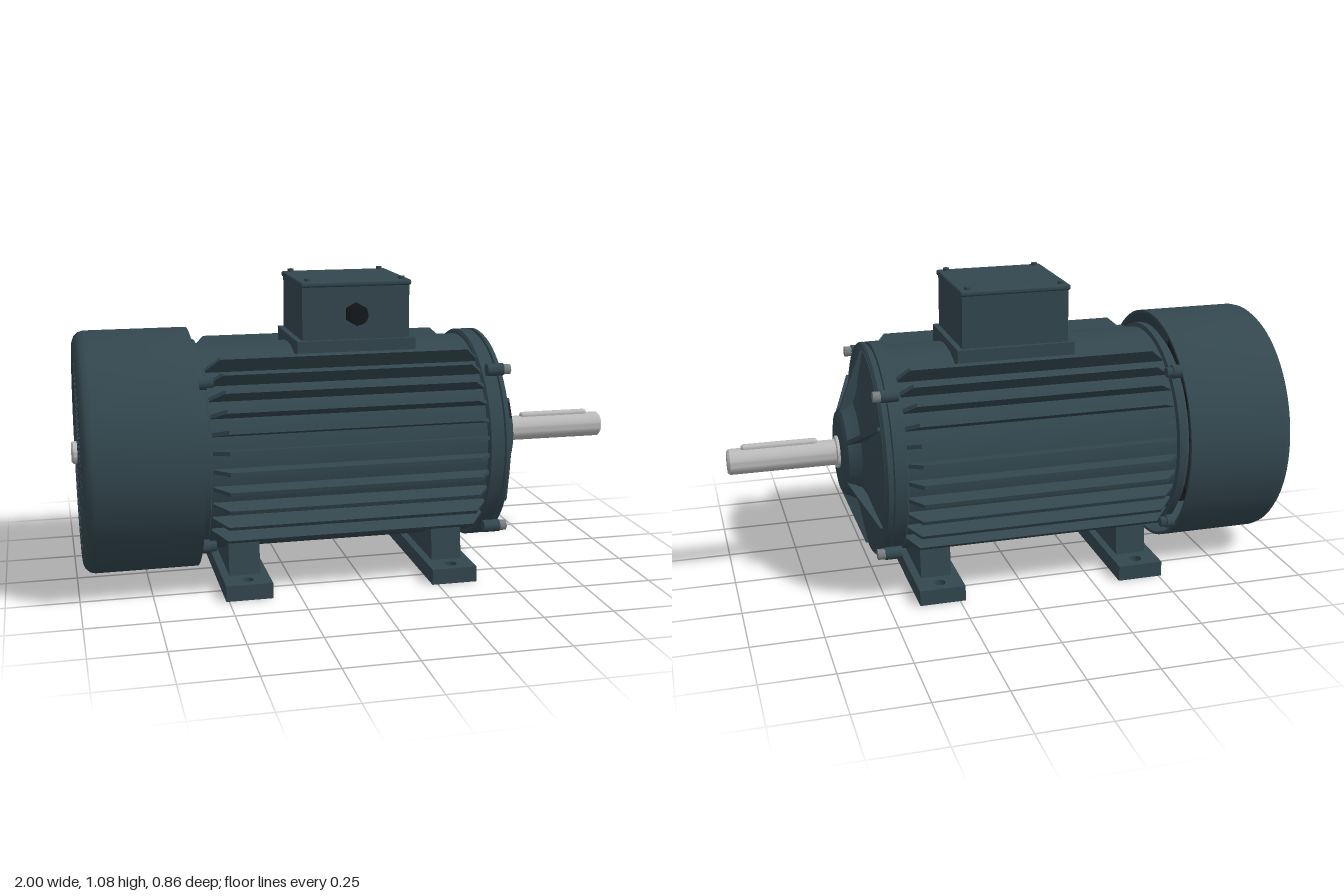
import * as THREE from 'three';
import { toCreasedNormals } from 'three/addons/utils/BufferGeometryUtils.js';
import { RoundedBoxGeometry } from 'three/addons/geometries/RoundedBoxGeometry.js';

const AXIS = 0.468; // height of the shaft line
const paint = new THREE.MeshStandardMaterial({ color: 0x33474f });
const paintThin = new THREE.MeshStandardMaterial({ color: 0x33474f, side: THREE.DoubleSide });
const steel = new THREE.MeshStandardMaterial({ color: 0xbababa });
const boltSteel = new THREE.MeshStandardMaterial({ color: 0x7c8284 });
const black = new THREE.MeshStandardMaterial({ color: 0x14191b });

function add(parent, name, geometry, material, x = 0, y = 0, z = 0) {
  const mesh = new THREE.Mesh(geometry, material);
  mesh.name = name;
  mesh.position.set(x, y, z);
  parent.add(mesh);
  return mesh;
}

// Turned part about the x axis; points are [x, radius] from rear to front
function turned(points, segments = 72) {
  const g = new THREE.LatheGeometry(points.map(([x, r]) => new THREE.Vector2(r, x)), segments);
  return toCreasedNormals(g.rotateZ(-Math.PI / 2), 0.5);
}

// Cylinder along x between two stations
function rod(x0, x1, r, sides = 24) {
  return new THREE.CylinderGeometry(r, r, x1 - x0, sides).rotateZ(-Math.PI / 2).translate((x0 + x1) / 2, 0, 0);
}

// Thin plate with its outline in the (x, radius) plane
function plate(points, thickness) {
  const shape = new THREE.Shape(points.map(([x, r]) => new THREE.Vector2(x, r)));
  return new THREE.ExtrudeGeometry(shape, { depth: thickness, bevelEnabled: false }).translate(0, 0, -thickness / 2);
}

// Rear grille: a disc with rings of arc-shaped slots
function grille() {
  const disc = new THREE.Shape().absarc(0, 0, 0.386, 0, Math.PI * 2);
  const spokes = 4;
  for (let i = 0; i < 9; i++) {
    const r0 = 0.06 + i * 0.033, r1 = r0 + 0.016;
    const gap = 0.009 / r0;
    for (let k = 0; k < spokes; k++) {
      const a0 = (k / spokes) * Math.PI * 2 + gap;
      const a1 = ((k + 1) / spokes) * Math.PI * 2 - gap;
      const slot = new THREE.Path();
      slot.absarc(0, 0, r1, a0, a1, false);
      slot.absarc(0, 0, r0, a1, a0, true);
      slot.closePath();
      disc.holes.push(slot);
    }
  }
  return new THREE.ExtrudeGeometry(disc, { depth: 0.012, bevelEnabled: false, curveSegments: 20 })
    .rotateY(Math.PI / 2);
}

function buildTurnedParts(motor) {
  // Stator frame with its end flanges
  add(motor, 'frame', turned([[-0.6, 0], [-0.6, 0.36], [-0.585, 0.37], [-0.58, 0.385], [-0.555, 0.385],
    [-0.55, 0.37], [0.43, 0.37], [0.43, 0]]), paint);
  add(motor, 'frontFlange', turned([[0.425, 0], [0.425, 0.378], [0.432, 0.387], [0.475, 0.387], [0.478, 0.378],
    [0.484, 0.378], [0.487, 0.387], [0.498, 0.387], [0.505, 0.38], [0.505, 0]]), paint);
  // Front end shield with bearing hub
  add(motor, 'endShield', turned([[0.5, 0.375], [0.508, 0.37], [0.522, 0.3], [0.535, 0.22], [0.548, 0.18],
    [0.57, 0.165], [0.592, 0.156], [0.603, 0.142], [0.606, 0.125], [0.606, 0]]), paint);
  add(motor, 'shaftSeal', turned([[0.6, 0.058], [0.615, 0.058], [0.618, 0.054], [0.618, 0]], 40), steel);
  // Shaft passes right through to the fan end
  add(motor, 'shaft', turned([[-1, 0], [-1, 0.034], [-0.994, 0.04], [-0.6, 0.04], [0.6, 0.04],
    [0.6, 0.046], [0.992, 0.046], [1, 0.039], [1, 0]], 40), steel);
  const key = new RoundedBoxGeometry(0.27, 0.03, 0.028, 3, 0.012);
  add(motor, 'shaftKey', key, steel, 0.815, 0.045, 0);
}

function buildFan(motor) {
  // Open-ended sheet cowl
  add(motor, 'fanCover', turned([[-0.968, 0.38], [-0.965, 0.395], [-0.952, 0.412], [-0.935, 0.42], [-0.58, 0.42],
    [-0.58, 0.43], [-0.94, 0.43], [-0.958, 0.425], [-0.972, 0.412], [-0.979, 0.395], [-0.98, 0.38]].reverse(), 96),
    paintThin);
  add(motor, 'fanGrille', grille(), paint, -0.98);
  const fan = new THREE.Group();
  fan.name = 'fan';
  add(fan, 'fanHub', rod(-0.9, -0.64, 0.1, 32), black);
  for (let i = 0; i < 8; i++) {
    const blade = plate([[-0.88, 0.08], [-0.66, 0.08], [-0.66, 0.34], [-0.84, 0.34]], 0.012);
    add(fan, 'fanBlade', blade, black).rotation.x = (i / 8) * Math.PI * 2;
  }
  motor.add(fan);
}

function buildFinsAndRibs(motor) {
  // Radial cooling fins down both flanks
  const fin = plate([[-0.545, 0.36], [0.43, 0.36], [0.43, 0.378], [0.385, 0.428], [-0.495, 0.428], [-0.545, 0.378]], 0.014);
  for (const side of [-1, 1]) {
    for (let i = -4; i <= 6; i++) {
      const elevation = THREE.MathUtils.degToRad(i * 9.5);
      add(motor, 'coolingFin', fin, paint).rotation.x = side * (Math.PI / 2 - elevation);
    }
  }
  // Stiffening ribs on the end shield
  const rib = plate([[0.5, 0.14], [0.597, 0.145], [0.597, 0.157], [0.518, 0.365], [0.5, 0.368]], 0.014);
  for (let i = 0; i < 6; i++) add(motor, 'shieldRib', rib, paint).rotation.x = (i * Math.PI) / 3;
  // Tie bolts with lugs at the four corners
  for (const sy of [-1, 1]) for (const sz of [-1, 1]) {
    const y = sy * 0.288, z = sz * 0.288;
    add(motor, 'frontLug', rod(0.44, 0.5, 0.022), paint, 0, y, z);
    add(motor, 'frontBolt', rod(0.5, 0.526, 0.019, 6), boltSteel, 0, y, z);
    add(motor, 'rearLug', rod(-0.59, -0.552, 0.024), paint, 0, y, z);
    add(motor, 'rearBolt', rod(-0.552, -0.53, 0.019, 6), paint, 0, y, z);
  }
}

function buildTerminalBox(root) {
  const box = new THREE.Group();
  box.name = 'terminalBox';
  add(box, 'boxBase', new THREE.BoxGeometry(0.425, 0.125, 0.38), paint, -0.006, 0.8025, 0);
  add(box, 'boxBody', new THREE.BoxGeometry(0.385, 0.19, 0.35), paint, -0.006, 0.957, 0);
  add(box, 'boxLid', new RoundedBoxGeometry(0.398, 0.02, 0.366, 3, 0.008), paint, -0.006, 1.061, 0);
  for (const sx of [-1, 1]) for (const sz of [-1, 1]) {
    add(box, 'lidScrew', new THREE.CylinderGeometry(0.011, 0.011, 0.014, 16), paint, -0.006 + sx * 0.168, 1.074, sz * 0.156);
  }
  // Cable gland on the front face
  const gland = (r, depth, sides, z) =>
    add(box, 'cableGland', new THREE.CylinderGeometry(r, r, depth, sides).rotateX(Math.PI / 2), black, -0.008, 0.956, z);
  gland(0.03, 0.03, 24, 0.18);
  gland(0.041, 0.022, 6, 0.192);
  gland(0.033, 0.03, 24, 0.215);
  root.add(box);
}

function buildFeet(root) {
  const pad = new THREE.Shape([[-0.082, -0.365], [0.082, -0.365], [0.082, 0.365], [-0.082, 0.365]]
    .map(([x, z]) => new THREE.Vector2(x, z)));
  for (const s of [-1, 1]) pad.holes.push(new THREE.Path().absarc(0, s * 0.312, 0.022, 0, Math.PI * 2, true));
  const padGeometry = new THREE.ExtrudeGeometry(pad, { depth: 0.056, bevelEnabled: false }).rotateX(-Math.PI / 2);
  // Tapered pedestal rising into the frame
  const side = new THREE.Shape([[-0.262, 0.05], [0.262, 0.05], [0.245, 0.19], [-0.245, 0.19]]
    .map(([z, y]) => new THREE.Vector2(z, y)));
  const pedestal = new THREE.ExtrudeGeometry(side, { depth: 0.11, bevelEnabled: false })
    .translate(0, 0, -0.055).rotateY(Math.PI / 2);
  for (const x of [-0.428, 0.312]) {
    const foot = new THREE.Group();
    foot.name = 'foot';
    foot.position.x = x;
    add(foot, 'footPad', padGeometry, paint);
    add(foot, 'footPedestal', pedestal, paint);
    root.add(foot);
  }
}

export function createModel() {
  const root = new THREE.Group();
  root.name = 'electricMotor';
  const motor = new THREE.Group();
  motor.name = 'motorBody';
  motor.position.y = AXIS;
  root.add(motor);
  buildTurnedParts(motor);
  buildFan(motor);
  buildFinsAndRibs(motor);
  buildTerminalBox(root);
  buildFeet(root);
  return root;
}
